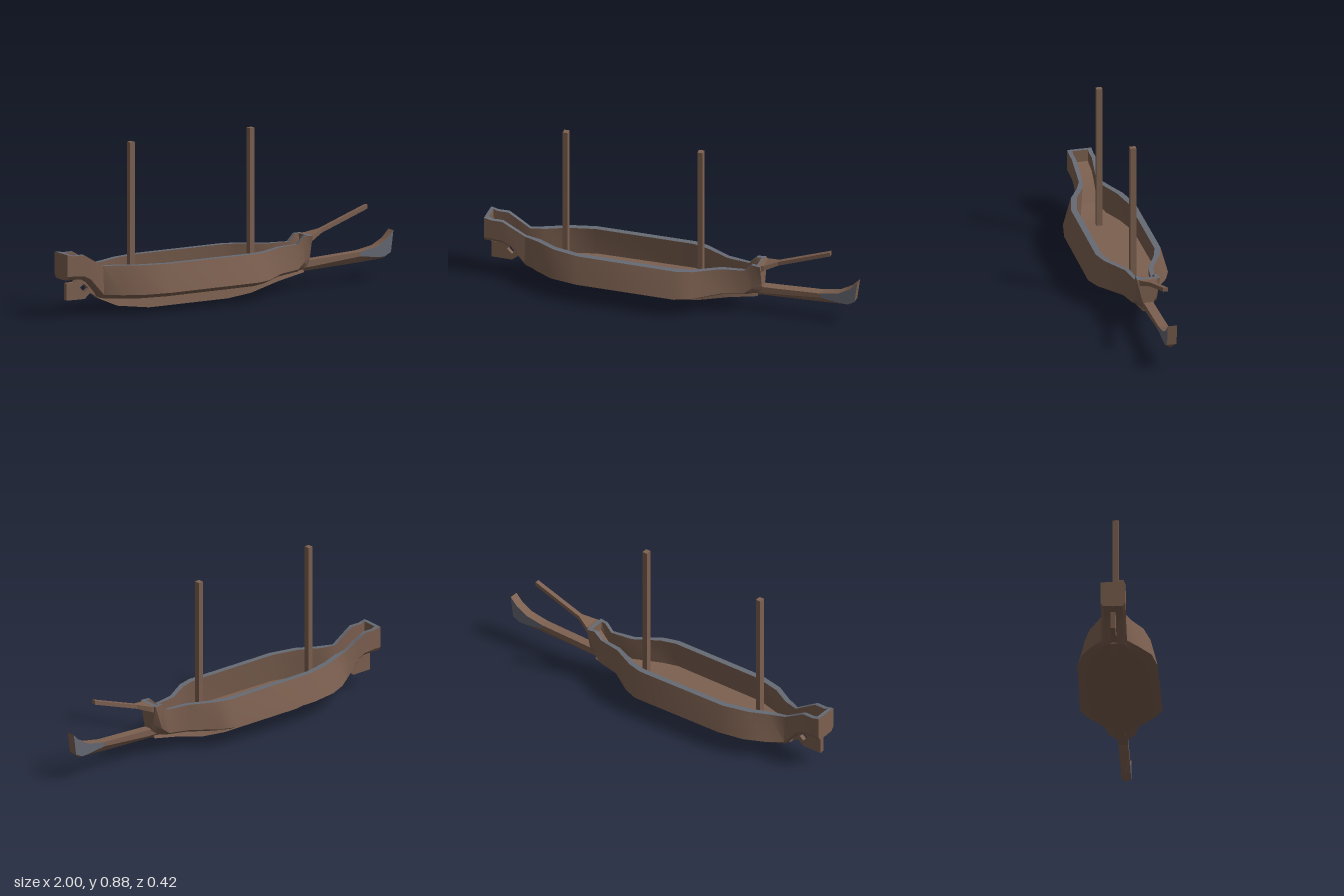
import * as THREE from 'three';
import { toCreasedNormals } from 'three/addons/utils/BufferGeometryUtils.js';

const wood = new THREE.MeshStandardMaterial({ color: 0x7c6050, side: THREE.DoubleSide });
wood.name = 'brown wood';
const trim = new THREE.MeshStandardMaterial({ color: 0x666a74, side: THREE.DoubleSide });
trim.name = 'grey trim';

const MID = -0.006; // centre plane of the narrow timbers

// Skin a row of equal cross-sections (arrays of [x, y, z]) running towards +x.
function loft(rings, { closed = true, caps = false, crease = 0.6 } = {}) {
  const n = rings[0].length;
  const index = [];
  for (let i = 0; i < rings.length - 1; i++) {
    for (let j = 0; j < (closed ? n : n - 1); j++) {
      const a = i * n + j, b = i * n + (j + 1) % n;
      index.push(a, b, b + n, a, b + n, a + n);
    }
  }
  if (caps) {
    const e = (rings.length - 1) * n;
    for (let j = 1; j < n - 1; j++) index.push(0, j + 1, j, e, e + j, e + j + 1);
  }
  const g = new THREE.BufferGeometry();
  g.setAttribute('position', new THREE.Float32BufferAttribute(rings.flat(2), 3));
  g.setIndex(index);
  return toCreasedNormals(g, crease);
}

export function createModel() {
  const model = new THREE.Group();
  model.name = 'galley';
  const add = (name, geometry, material = wood) => {
    const mesh = new THREE.Mesh(geometry, material);
    mesh.name = name;
    model.add(mesh);
    return mesh;
  };

  // Hull stations: x, rim z, rim y, widest z, widest y, bilge z, bilge y, bottom y, floor y
  const stations = [
    [-1.00, 0.064, 0.335, 0.064, 0.220, 0.050, 0.200, 0.198, 0.270],
    [-0.96, 0.064, 0.326, 0.064, 0.220, 0.050, 0.200, 0.198, 0.262],
    [-0.90, 0.064, 0.326, 0.064, 0.215, 0.050, 0.198, 0.195, 0.250],
    [-0.86, 0.062, 0.302, 0.063, 0.195, 0.046, 0.178, 0.172, 0.220],
    [-0.78, 0.056, 0.255, 0.066, 0.105, 0.048, 0.085, 0.080, 0.125],
    [-0.70, 0.088, 0.255, 0.125, 0.105, 0.085, 0.082, 0.066, 0.105],
    [-0.60, 0.138, 0.255, 0.180, 0.107, 0.125, 0.080, 0.060, 0.100],
    [-0.46, 0.170, 0.254, 0.207, 0.108, 0.150, 0.080, 0.056, 0.100],
    [0.07, 0.172, 0.251, 0.212, 0.108, 0.155, 0.080, 0.056, 0.100],
    [0.15, 0.150, 0.250, 0.182, 0.108, 0.125, 0.082, 0.062, 0.102],
    [0.28, 0.076, 0.247, 0.088, 0.110, 0.055, 0.090, 0.078, 0.120],
    [0.40, 0.053, 0.246, 0.066, 0.118, 0.032, 0.098, 0.090, 0.160],
    [0.44, 0.056, 0.285, 0.056, 0.150, 0.026, 0.110, 0.092, 0.205],
    [0.487, 0.062, 0.284, 0.036, 0.175, 0.016, 0.115, 0.095, 0.240],
  ];
  const outer = [], inner = [], rimLeft = [], rimRight = [];
  for (const [x, rz, ry, wz, wy, bz, by, y0, fy] of stations) {
    const c = rz < 0.1 ? MID : 0;
    const inset = Math.min(0.032, rz * 0.35), iz = rz - inset;
    const ix = THREE.MathUtils.clamp(x, -0.98, 0.465);
    const fz = Math.max(0.8 * iz, Math.min(wz - inset, iz * 1.15));
    outer.push([[x, ry, c + rz], [x, wy, c + wz], [x, by, c + bz], [x, y0, c],
      [x, by, c - bz], [x, wy, c - wz], [x, ry, c - rz]]);
    inner.push([[ix, ry, c - iz], [ix, fy, c - fz], [ix, fy, c + fz], [ix, ry, c + iz]]);
    rimLeft.push([[ix, ry, c + iz], [x, ry, c + rz]]);
    rimRight.push([[x, ry, c - rz], [ix, ry, c - iz]]);
  }
  add('hull', loft(outer, { closed: false, caps: true }));
  add('innerHull', loft(inner, { closed: false, caps: true, crease: 0.5 }));
  add('leftRim', loft(rimLeft, { closed: false }), trim);
  add('rightRim', loft(rimRight, { closed: false }), trim);

  // Rim across the stern and the bow ends
  const last = stations.length - 1;
  for (const [name, k, flip] of [['sternRim', 0, false], ['bowRim', last, true]]) {
    const ends = [
      [outer[k][6], outer[k][0]],
      [inner[k][0], inner[k][3]],
    ];
    add(name, loft(flip ? ends.reverse() : ends, { closed: false }), trim);
  }

  // Keel: x, bottom y, top y
  const keel = [
    [-0.79, 0.083, 0.09], [-0.67, 0.03, 0.09], [-0.48, 0.002, 0.09], [0.0, 0, 0.09],
    [0.14, 0.015, 0.09], [0.3, 0.058, 0.095], [0.46, 0.09, 0.11],
  ].map(([x, y0, y1]) => [[x, y1, MID + 0.010], [x, y0, MID + 0.022],
    [x, y0, MID - 0.022], [x, y1, MID - 0.010]]);
  add('keel', loft(keel, { caps: true, crease: 0.4 }));

  // Ram: top x, y; lower side x, y; underside x, y
  const ram = [
    [0.42, 0.150, 0.42, 0.115, 0.42, 0.088],
    [0.50, 0.150, 0.50, 0.115, 0.50, 0.092],
    [0.80, 0.162, 0.80, 0.138, 0.80, 0.102],
    [0.90, 0.180, 0.90, 0.124, 0.88, 0.106],
    [0.96, 0.213, 0.945, 0.122, 0.925, 0.108],
    [1.00, 0.255, 0.985, 0.142, 0.950, 0.110],
  ].map(([tx, ty, lx, ly, bx, by]) => [[tx, ty, MID + 0.025], [lx, ly, MID + 0.025],
    [bx, by, MID], [lx, ly, MID - 0.025], [tx, ty, MID - 0.025]]);
  add('ramShaft', loft(ram.slice(0, 3), { caps: true, crease: 0.3 }));
  const tip = ram.slice(2);
  const strip = (i, j) => loft(tip.map((r) => [r[i], r[j]]), { closed: false });
  add('ramTipLeft', strip(0, 1), trim);
  add('ramTipRight', strip(3, 4), trim);
  add('ramTipTop', strip(4, 0));
  add('ramTipUnderLeft', strip(1, 2));
  add('ramTipUnderRight', strip(2, 3));
  const end = tip[tip.length - 1];
  add('ramFace', loft([[end[0], end[4]], [end[1], end[3]], [end[2], end[2]]], { closed: false, crease: 0.2 }));

  // Bow spar, flared where it meets the bow: x, middle y, half height, half width
  const spar = [
    [0.475, 0.264, 0.020, 0.050], [0.50, 0.270, 0.014, 0.045],
    [0.57, 0.293, 0.011, 0.013], [0.85, 0.392, 0.011, 0.012],
  ].map(([x, y, h, w]) => [[x, y + h, MID + w], [x, y - h, MID + w],
    [x, y - h, MID - w], [x, y + h, MID - w]]);
  add('bowSpar', loft(spar, { caps: true, crease: 0.2 }));

  // Masts
  for (const [name, x] of [['aftMast', -0.577], ['foreMast', 0.149]]) {
    const mast = add(name, new THREE.BoxGeometry(0.028, 0.79, 0.032));
    mast.position.set(x, 0.482, MID);
  }

  // Rudder plate with a diamond opening
  const points = (list) => list.map(([x, y]) => new THREE.Vector2(x, y));
  const rudder = new THREE.Shape(points([[-0.975, 0.086], [-0.865, 0.084], [-0.83, 0.112],
    [-0.795, 0.09], [-0.84, 0.18], [-0.90, 0.202], [-0.93, 0.176], [-0.975, 0.176]]));
  rudder.holes.push(new THREE.Path(points([[-0.892, 0.146], [-0.87, 0.164], [-0.842, 0.138], [-0.864, 0.118]])));
  const plate = add('rudder', new THREE.ExtrudeGeometry(rudder, { depth: 0.024, bevelEnabled: false }));
  plate.position.z = MID - 0.012;

  return model;
}
